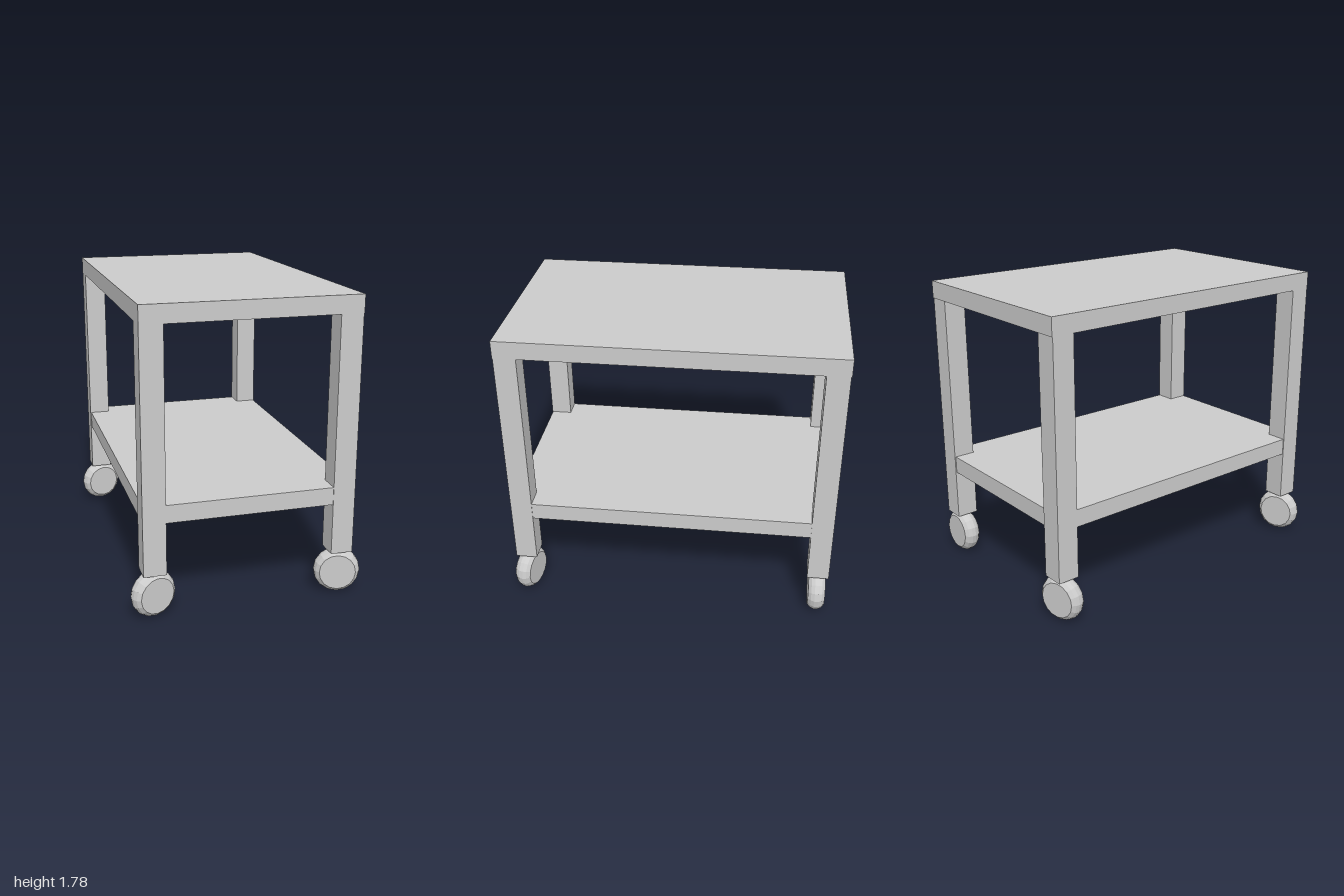
import * as THREE from 'three';

const material = new THREE.MeshStandardMaterial({ color: 0xcccccc, flatShading: true });

// Box given by its minimum and maximum corners
function block(name, [x0, y0, z0], [x1, y1, z1]) {
  const mesh = new THREE.Mesh(new THREE.BoxGeometry(x1 - x0, y1 - y0, z1 - z0), material);
  mesh.position.set((x0 + x1) / 2, (y0 + y1) / 2, (z0 + z1) / 2);
  mesh.name = name;
  return mesh;
}

// Faceted wheel with flat faces, its axle along z
function wheelGeometry() {
  const half = [[0, 0.052], [0.107, 0.052], [0.127, 0.033], [0.136, 0.012]];
  const profile = [
    ...half.map(([r, t]) => new THREE.Vector2(r, -t)),
    ...half.slice().reverse().map(([r, t]) => new THREE.Vector2(r, t)),
  ];
  return new THREE.LatheGeometry(profile, 16).rotateX(Math.PI / 2);
}

export function createModel() {
  const model = new THREE.Group();
  model.name = 'rollingCart';

  // Top panel and lower shelf
  model.add(block('topPanel', [-0.625, 1.68, -0.992], [0.622, 1.785, 0.985]));
  model.add(block('lowerShelf', [-0.62, 0.577, -0.982], [0.617, 0.682, 0.98]));

  // Legs, each on a wheel swivelled to its own angle (degrees)
  const wheel = wheelGeometry();
  const corners = [
    { name: 'frontLeft', x: 0.554, z: 0.917, swivel: -15 },
    { name: 'frontRight', x: -0.559, z: 0.917, swivel: 19 },
    { name: 'backLeft', x: 0.554, z: -0.922, swivel: 0 },
    { name: 'backRight', x: -0.559, z: -0.922, swivel: 15 },
  ];
  for (const { name, x, z, swivel } of corners) {
    const w = 0.066;
    model.add(block(name + 'Leg', [x - w, 0.268, z - w], [x + w, 1.68, z + w]));
    const mesh = new THREE.Mesh(wheel, material);
    mesh.name = name + 'Wheel';
    mesh.position.set(x, 0.136, z);
    mesh.rotation.y = THREE.MathUtils.degToRad(swivel);
    model.add(mesh);
  }
  return model;
}
